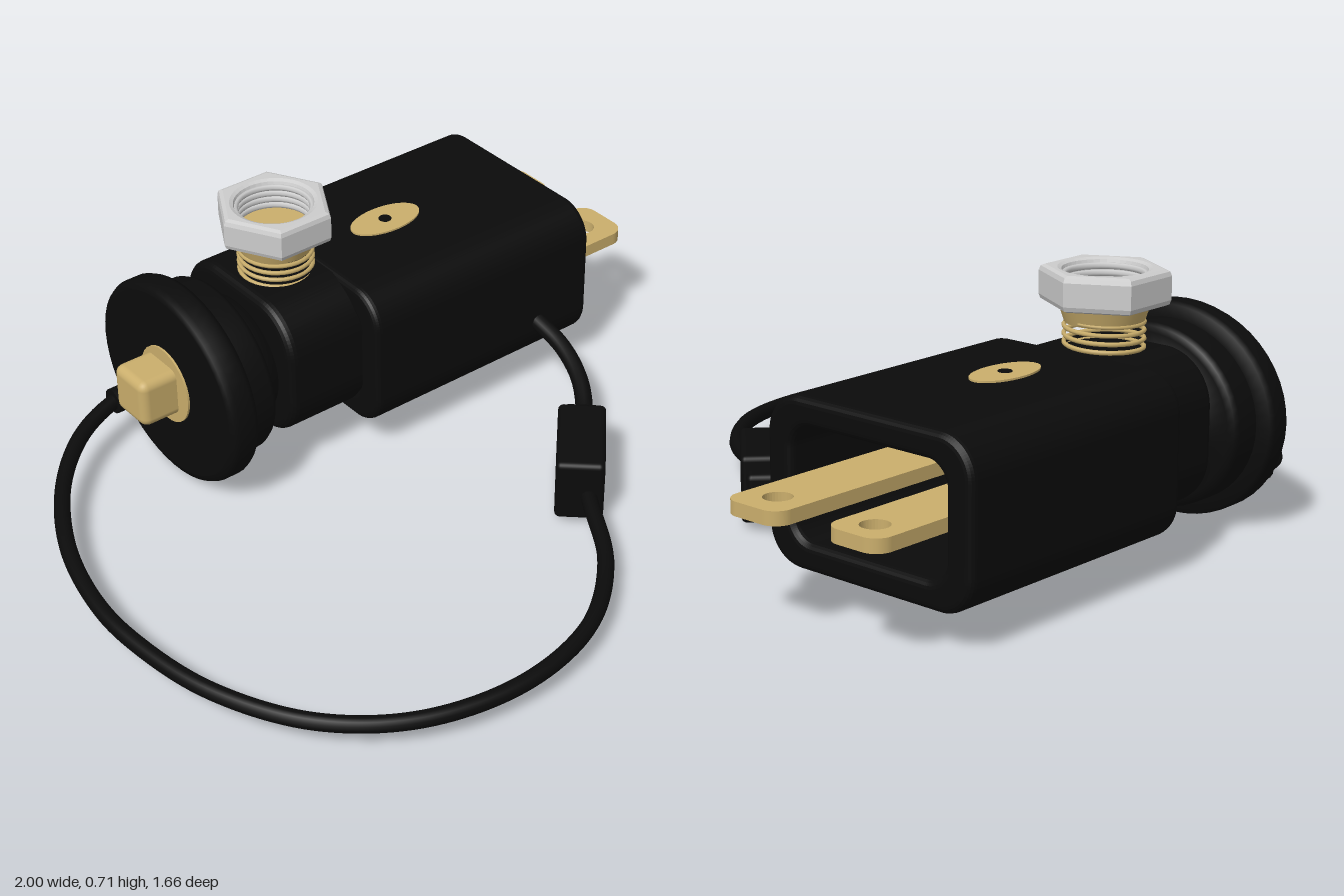
import * as THREE from 'three';
import { RoundedBoxGeometry } from 'three/addons/geometries/RoundedBoxGeometry.js';

const black = new THREE.MeshStandardMaterial({ color: 0x0b0b0b });
black.name = 'black plastic';
const gold = new THREE.MeshStandardMaterial({ color: 0xcaae6c });
gold.name = 'brass';
const silver = new THREE.MeshStandardMaterial({ color: 0xcccccc });
silver.name = 'steel';

const AXIS_Y = 0.285, AXIS_Z = -0.51;

function add(parent, name, geometry, material, x = 0, y = 0, z = 0) {
  const mesh = new THREE.Mesh(geometry, material);
  mesh.name = name;
  mesh.position.set(x, y, z);
  parent.add(mesh);
  return mesh;
}

function roundedRect(w, h, r, Type = THREE.Shape) {
  const s = new Type(), a = w / 2, b = h / 2;
  s.moveTo(-a + r, -b);
  s.lineTo(a - r, -b);
  s.absarc(a - r, -b + r, r, -Math.PI / 2, 0);
  s.lineTo(a, b - r);
  s.absarc(a - r, b - r, r, 0, Math.PI / 2);
  s.lineTo(-a + r, b);
  s.absarc(-a + r, b - r, r, Math.PI / 2, Math.PI);
  s.lineTo(-a, -b + r);
  s.absarc(-a + r, -b + r, r, Math.PI, Math.PI * 1.5);
  return s;
}

// Extrude a (z, y) outline along x, from x0 to x1, with a rounded rim
function extrudeX(shape, x0, x1, bevel) {
  const g = new THREE.ExtrudeGeometry(shape, {
    depth: x1 - x0 - 2 * bevel, bevelThickness: bevel, bevelSize: bevel,
    bevelOffset: -bevel, bevelSegments: 4, curveSegments: 10,
  });
  g.rotateY(Math.PI / 2);
  g.translate(x0 + bevel, 0, 0);
  return g;
}

// Flat brass terminal with a rounded tip and a hole
function bladeGeometry(x0, x1, width, holeX) {
  const s = new THREE.Shape(), h = width / 2, r = 0.045;
  s.moveTo(x0, -h);
  s.lineTo(x1 - r, -h);
  s.absarc(x1 - r, -h + r, r, -Math.PI / 2, 0);
  s.lineTo(x1, h - r);
  s.absarc(x1 - r, h - r, r, 0, Math.PI / 2);
  s.lineTo(x0, h);
  s.holes.push(new THREE.Path().absarc(holeX, 0, 0.036, 0, Math.PI * 2, true));
  const g = new THREE.ExtrudeGeometry(s, { depth: 0.035, bevelEnabled: false, curveSegments: 16 });
  g.rotateX(-Math.PI / 2);
  return g;
}

function cablePath(points) {
  return new THREE.CatmullRomCurve3(points.map((p) => new THREE.Vector3(...p)));
}

export function createModel() {
  const model = new THREE.Group();
  model.name = 'socketWithCable';

  // Hollow housing, open at the terminal end
  const shell = roundedRect(0.64, 0.42, 0.1);
  shell.holes.push(roundedRect(0.48, 0.28, 0.06, THREE.Path));
  add(model, 'housing', extrudeX(shell, 0.01, 0.77, 0.02), black, 0, 0.298, AXIS_Z);
  add(model, 'housingFloor', new THREE.BoxGeometry(0.1, 0.36, 0.54), black, 0.08, 0.298, AXIS_Z);
  add(model, 'shoulder', extrudeX(roundedRect(0.49, 0.405, 0.14), -0.22, 0.05, 0.025), black, 0, 0.302, AXIS_Z);

  // Neck and stepped flange turned around the long axis
  const profile = [
    [0, -0.455], [0.29, -0.455], [0.307, -0.45], [0.315, -0.435], [0.315, -0.39], [0.307, -0.375],
    [0.27, -0.37], [0.27, -0.3], [0.262, -0.286], [0.245, -0.28], [0.2, -0.275], [0.185, -0.255],
    [0.185, -0.2], [0, -0.2],
  ].map(([r, y]) => new THREE.Vector2(r, y));
  // Repeated corner points keep the flat faces crisp
  const crisp = profile.flatMap((p, i) => (i === 1 || i === 6 ? [p, p.clone().addScalar(0.0005)] : [p]));
  const flange = new THREE.LatheGeometry(crisp, 48);
  flange.rotateZ(-Math.PI / 2);
  flange.scale(1, 0.9, 1);
  add(model, 'flange', flange, black, 0, AXIS_Y, AXIS_Z);

  // Push button and its brass seat
  const seat = new THREE.CylinderGeometry(0.11, 0.11, 0.008, 32).rotateZ(Math.PI / 2);
  add(model, 'buttonSeat', seat, gold, -0.457, AXIS_Y, AXIS_Z);
  add(model, 'button', new RoundedBoxGeometry(0.14, 0.14, 0.14, 3, 0.025), gold, -0.5, AXIS_Y, AXIS_Z - 0.01);

  // Contacts inside the housing
  const ring = new THREE.RingGeometry(0.07, 0.115, 32).rotateY(Math.PI / 2);
  add(model, 'contactRing', ring, gold, 0.135, AXIS_Y, AXIS_Z);
  add(model, 'crossPin', new THREE.CylinderGeometry(0.034, 0.034, 0.3, 20), gold, 0.29, 0.298, AXIS_Z);
  add(model, 'innerTerminal', bladeGeometry(0.14, 0.98, 0.165, 0.9), gold, 0, 0.28, -0.665);
  add(model, 'outerTerminal', bladeGeometry(0.14, 0.995, 0.175, 0.905), gold, 0, 0.28, -0.367);

  // Oval rivets above and below, with a dark centre
  for (const [side, y, dy] of [['top', 0.509, 0.004], ['bottom', 0.087, -0.004]]) {
    const oval = new THREE.CylinderGeometry(1, 1, 0.008, 36).scale(0.112, 1, 0.06);
    add(model, side + 'Rivet', oval, gold, 0.29, y, AXIS_Z);
    add(model, side + 'RivetHole', new THREE.CylinderGeometry(0.018, 0.018, 0.004, 16), black, 0.29, y + dy, AXIS_Z);
  }

  // Threaded stud with a hexagonal nut
  const stud = new THREE.Group();
  stud.name = 'stud';
  stud.position.set(-0.08, 0, -0.515);
  model.add(stud);
  const turns = 4, helix = [];
  for (let i = 0; i <= turns * 24; i++) {
    const a = (i / 24) * Math.PI * 2;
    helix.push(new THREE.Vector3(Math.cos(a) * 0.1, 0.495 + 0.085 * i / (turns * 24), Math.sin(a) * 0.1));
  }
  const thread = new THREE.TubeGeometry(new THREE.CatmullRomCurve3(helix), turns * 32, 0.006, 6);
  add(stud, 'studThread', thread, gold);
  const collar = new THREE.CylinderGeometry(0.115, 0.1, 0.045, 32);
  add(stud, 'studCollar', collar, gold, 0, 0.595, 0);

  const hex = new THREE.Shape();
  for (let i = 0; i < 6; i++) {
    const a = i * Math.PI / 3, x = 0.16 * Math.cos(a), y = 0.165 * Math.sin(a);
    if (i) hex.lineTo(x, y); else hex.moveTo(x, y);
  }
  hex.closePath();
  hex.holes.push(new THREE.Path().absarc(0, 0, 0.106, 0, Math.PI * 2, true));
  const nut = new THREE.ExtrudeGeometry(hex, {
    depth: 0.06, bevelThickness: 0.016, bevelSize: 0.014, bevelOffset: -0.012,
    bevelSegments: 2, curveSegments: 20,
  });
  nut.rotateX(-Math.PI / 2);
  add(stud, 'nut', nut, silver, 0, 0.633, 0);
  for (let i = 0; i < 4; i++) {
    const turn = new THREE.TorusGeometry(0.104, 0.009, 6, 32).rotateX(Math.PI / 2);
    add(stud, 'nutThread', turn, silver, 0, 0.635 + i * 0.018, 0);
  }

  // Looped cable from the flange to the inline block
  const loop = cablePath([
    [-0.42, 0.14, -0.715], [-0.52, 0.135, -0.705], [-0.65, 0.12, -0.65], [-0.79, 0.1, -0.52],
    [-0.91, 0.085, -0.31], [-0.97, 0.08, -0.08], [-0.976, 0.08, 0.1], [-0.93, 0.08, 0.36],
    [-0.8, 0.08, 0.6], [-0.6, 0.078, 0.75], [-0.33, 0.076, 0.807], [-0.07, 0.078, 0.755],
    [0.13, 0.08, 0.6], [0.25, 0.09, 0.41], [0.31, 0.1, 0.31],
  ]);
  add(model, 'cableLoop', new THREE.TubeGeometry(loop, 120, 0.022, 12), black);
  const lead = cablePath([
    [0.36, 0.105, 0.24], [0.47, 0.11, 0.14], [0.55, 0.145, 0.03], [0.588, 0.18, -0.09], [0.588, 0.215, -0.22],
  ]);
  add(model, 'cableLead', new THREE.TubeGeometry(lead, 40, 0.024, 12), black);
  const sleeve = new THREE.CylinderGeometry(0.036, 0.036, 0.09, 16).rotateZ(Math.PI / 2);
  add(model, 'cableSleeve', sleeve, black, -0.465, 0.138, -0.708);

  // Inline block, aligned with the cable
  const block = new THREE.Group();
  block.name = 'inlineBlock';
  block.position.set(0.34, 0.107, 0.268);
  block.rotation.y = Math.atan2(0.205, 0.19);
  model.add(block);
  add(block, 'blockBody', new RoundedBoxGeometry(0.28, 0.18, 0.13, 3, 0.015), black);
  add(block, 'blockCollar', new RoundedBoxGeometry(0.06, 0.11, 0.1, 3, 0.015), black, 0.16, 0, 0);

  return model;
}
